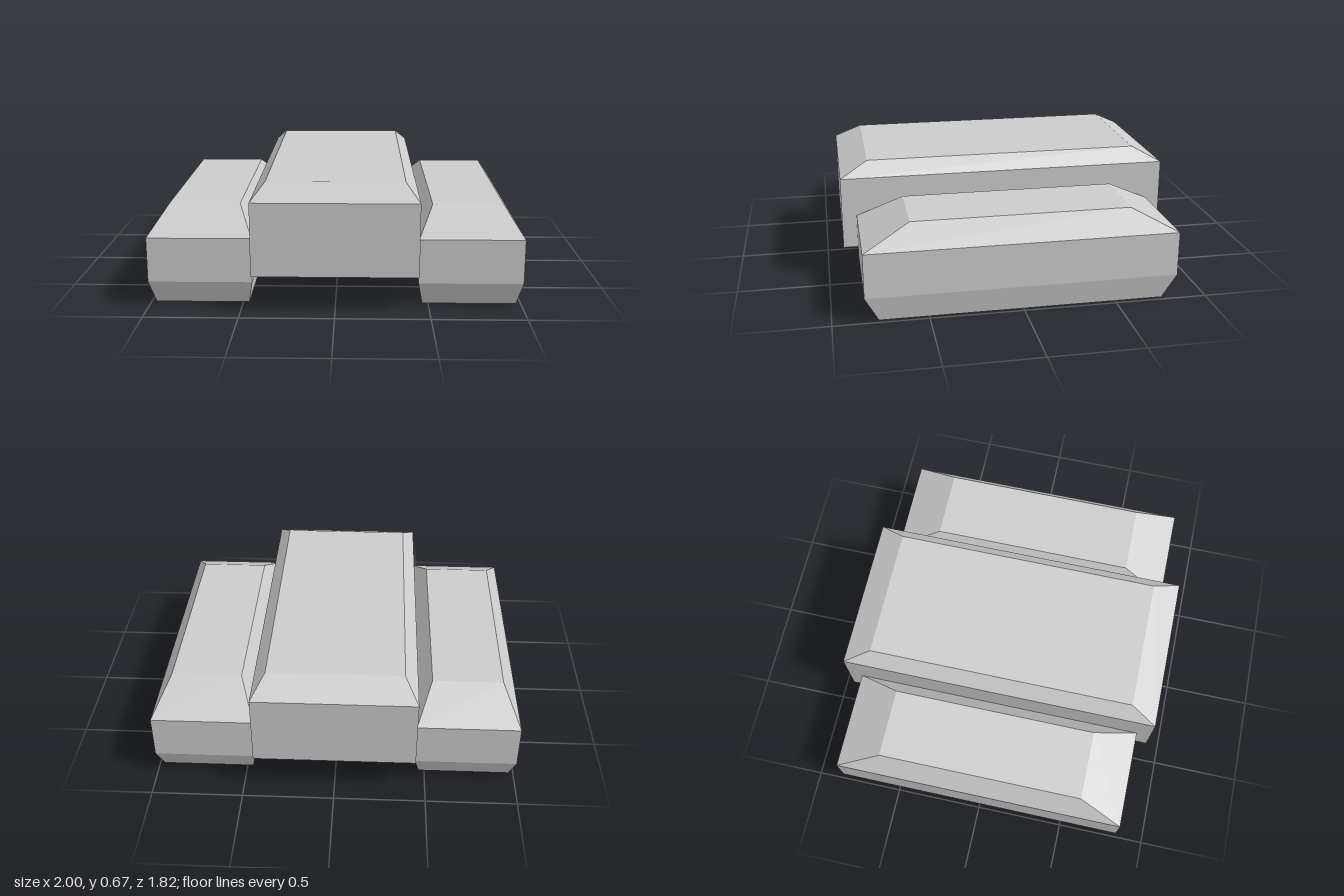
import * as THREE from 'three';

// Closed faceted hull from stacked rectangles: [y, half width, half depth], bottom to top
function hull(levels) {
  const positions = [];
  const rings = levels.map(([y, w, d]) => [[-w, y, d], [w, y, d], [w, y, -d], [-w, y, -d]]);
  const quad = (a, b, c, d) => positions.push(...a, ...b, ...c, ...a, ...c, ...d);
  for (let i = 0; i < rings.length - 1; i++) {
    for (let j = 0; j < 4; j++) {
      const k = (j + 1) % 4;
      quad(rings[i][j], rings[i][k], rings[i + 1][k], rings[i + 1][j]);
    }
  }
  quad(...rings[rings.length - 1]);
  quad(...[...rings[0]].reverse());
  const geometry = new THREE.BufferGeometry();
  geometry.setAttribute('position', new THREE.Float32BufferAttribute(positions, 3));
  geometry.computeVertexNormals();
  return geometry;
}

export function createModel() {
  const group = new THREE.Group();
  const material = new THREE.MeshStandardMaterial({ color: 0xcccccc, flatShading: true });

  // Raised central body with bevelled top and underside
  const body = new THREE.Mesh(hull([
    [0.13, 0.33, 0.68],
    [0.195, 0.442, 0.912],
    [0.593, 0.442, 0.912],
    [0.672, 0.37, 0.76],
  ]), material);
  body.name = 'centralBody';
  group.add(body);

  // Mirrored side pods resting on the ground
  const podGeometry = hull([
    [0, 0.253, 0.76],
    [0.137, 0.279, 0.832],
    [0.379, 0.279, 0.832],
    [0.507, 0.194, 0.583],
  ]);
  for (const side of [1, -1]) {
    const pod = new THREE.Mesh(podGeometry, material);
    pod.name = side > 0 ? 'leftPod' : 'rightPod';
    pod.position.x = side * 0.721;
    group.add(pod);
  }

  return group;
}
